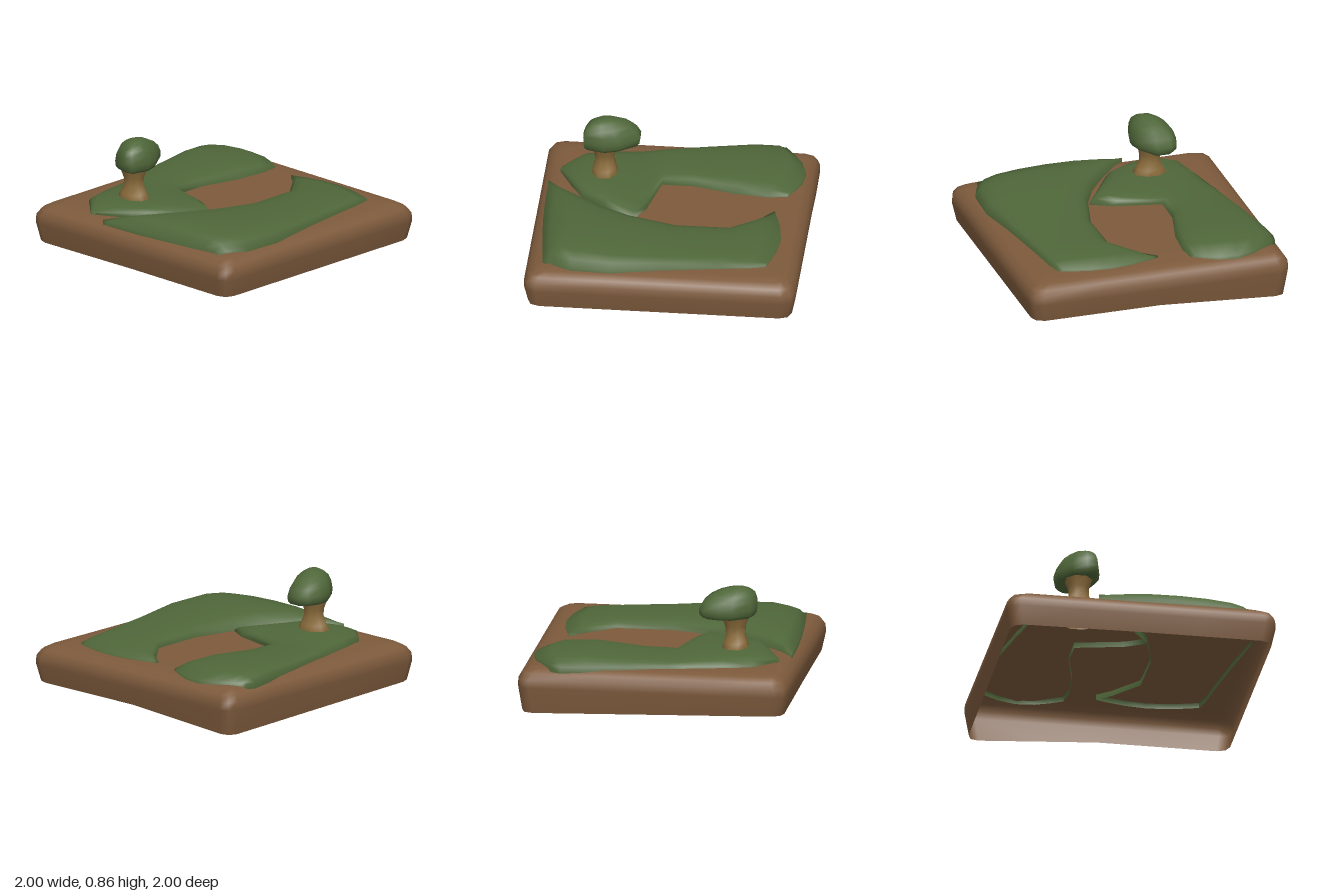
import * as THREE from 'three';

const DIRT = 0x7d5a3c, GRASS = 0x4f6639, WOOD = 0x8c6d3c;

function surface(name, color, points, index) {
  const geo = new THREE.BufferGeometry();
  geo.setAttribute('position', new THREE.Float32BufferAttribute(points.flat(), 3));
  geo.setIndex(index);
  geo.computeVertexNormals();
  const mat = new THREE.MeshStandardMaterial({ color, side: THREE.DoubleSide });
  const mesh = new THREE.Mesh(geo, mat);
  mesh.name = name;
  return mesh;
}

// Skin over closed loops stacked upwards; optional points close the ends.
function loft(name, color, loops, top, bottom) {
  const n = loops[0].length, points = loops.flat(), index = [];
  for (let i = 0; i < loops.length - 1; i++) {
    for (let j = 0; j < n; j++) {
      const a = i * n + j, b = i * n + (j + 1) % n;
      index.push(a, a + n, b, b, a + n, b + n);
    }
  }
  const last = (loops.length - 1) * n;
  for (let j = 0; j < n; j++) {
    const k = (j + 1) % n;
    if (top) index.push(last + j, points.length, last + k);
    if (bottom) index.push(j, k, points.length + (top ? 1 : 0));
  }
  if (top) points.push(top);
  if (bottom) points.push(bottom);
  return surface(name, color, points, index);
}

// Domed turf strip: rows run back to front as [x0, z0, x1, z1, height, bulge].
function turf(name, rows) {
  const EDGE = 0.36, SKIRT = 0.305;
  const across = [0, 0.05, 0.14, 0.3, 0.5, 0.7, 0.86, 0.95, 1];
  const rise = [0, 0.5, 0.8, 0.95, 1, 0.95, 0.8, 0.5, 0];
  const grid = rows.map(([x0, z0, x1, z1, h, bulge]) => {
    const row = across.map((t, j) => [
      x0 + (x1 - x0) * t,
      EDGE + (h - EDGE) * rise[j],
      z0 + (z1 - z0) * t + bulge * Math.sin(Math.PI * t),
    ]);
    const low = ([x, , z]) => [x, SKIRT, z];
    return [low(row[0]), ...row, low(row[row.length - 1])];
  });
  // skirt at the back and front ends
  const drop = (row) => row.map(([x, , z]) => [x, SKIRT, z]);
  grid.unshift(drop(grid[0]));
  grid.push(drop(grid[grid.length - 1]));
  const n = grid[0].length, index = [];
  for (let i = 0; i < grid.length - 1; i++) {
    for (let j = 0; j < n - 1; j++) {
      const a = i * n + j;
      index.push(a, a + n, a + 1, a + 1, a + n, a + n + 1);
    }
  }
  return surface(name, GRASS, grid.flat(), index);
}

function dirtSlab() {
  let quarter = [[1, -0.45], [1, 0], [1, 0.45], [1, 0.91], [0.975, 0.975], [0.91, 1]];
  const outline = [];
  for (let k = 0; k < 4; k++) {
    outline.push(...quarter);
    quarter = quarter.map(([x, z]) => [-z, x]);
  }
  // The lower rim sags towards the back left corner
  const rim = (x, z) => 0.065 - Math.max(0, -x) * (0.035 - 0.025 * z);
  const profile = [[0.2, 1], [0.26, 0.997], [0.305, 0.97], [0.335, 0.92], [0.345, 0.85], [0.347, 0.6]];
  const loops = [
    outline.map(([x, z]) => [x * 0.972, rim(x, z), z * 0.972]),
    ...profile.map(([y, s]) => outline.map(([x, z]) => [x * s, y, z * s])),
  ];
  return loft('dirtSlab', DIRT, loops, [0, 0.347, 0]);
}

function tree() {
  const group = new THREE.Group();
  group.name = 'tree';

  // Flared trunk, open below
  const rings = [[0.3, 0.125, 0.095], [0.42, 0.125, 0.095], [0.46, 0.1, 0.085],
    [0.52, 0.072, 0.07], [0.58, 0.075, 0.075], [0.65, 0.1, 0.1]];
  const trunk = rings.map(([y, rx, rz]) => Array.from({ length: 8 }, (_, i) => {
    const a = (i + 0.5) * Math.PI / 4;
    return [-0.4 + rx * 1.06 * Math.cos(a), y, 0.535 + rz * 1.06 * Math.sin(a)];
  }));
  group.add(loft('trunk', WOOD, trunk));

  // Lopsided crown that leans forward as it rises
  const outline = [[-0.49, 0.275], [-0.38, 0.275], [-0.28, 0.42], [-0.245, 0.53], [-0.28, 0.68],
    [-0.36, 0.69], [-0.47, 0.66], [-0.56, 0.53], [-0.57, 0.43], [-0.54, 0.32]];
  const levels = [[0.65, 0.87, 0], [0.675, 0.98, 0], [0.715, 1, 0], [0.77, 0.92, 0.012],
    [0.815, 0.76, 0.03], [0.85, 0.5, 0.045], [0.868, 0.25, 0.055]];
  const crown = levels.map(([y, s, lean]) => outline.map(([x, z]) => [
    -0.405 + (x + 0.405) * s + lean * 0.4, y, 0.485 + (z - 0.485) * s + lean,
  ]));
  group.add(loft('crown', GRASS, crown, [-0.38, 0.871, 0.54], [-0.405, 0.638, 0.485]));
  return group;
}

export function createModel() {
  const model = new THREE.Group();
  model.name = 'gardenTile';
  model.add(dirtSlab());

  model.add(turf('rightTurf', [
    [-0.95, -0.75, -0.28, -0.82, 0.36, -0.14],
    [-0.96, -0.68, -0.26, -0.68, 0.42, -0.12],
    [-0.945, -0.52, -0.28, -0.45, 0.435, -0.04],
    [-0.89, -0.2, -0.36, -0.13, 0.415, 0],
    [-0.83, 0.1, -0.36, 0.11, 0.405, 0],
    [-0.81, 0.22, 0, 0.19, 0.41, 0],
    [-0.79, 0.3, 0.15, 0.27, 0.415, 0],
    [-0.75, 0.5, 0, 0.5, 0.425, 0],
    [-0.7, 0.7, -0.1, 0.66, 0.425, 0],
    [-0.6, 0.79, -0.28, 0.77, 0.4, 0],
    [-0.52, 0.865, -0.47, 0.865, 0.36, 0.005],
  ]));

  model.add(turf('leftTurf', [
    [-0.05, -0.75, 0.72, -0.76, 0.36, -0.08],
    [0.05, -0.67, 0.75, -0.65, 0.4, -0.05],
    [0.23, -0.45, 0.78, -0.42, 0.408, 0],
    [0.24, -0.05, 0.84, -0.03, 0.42, 0],
    [0.15, 0.3, 0.91, 0.37, 0.45, 0],
    [0.05, 0.5, 0.9, 0.66, 0.46, 0],
    [-0.1, 0.7, 0.86, 0.76, 0.455, 0],
    [-0.23, 0.85, 0.83, 0.82, 0.435, 0.02],
    [-0.32, 0.94, 0.82, 0.87, 0.36, 0.02],
  ]));

  model.add(tree());
  return model;
}
